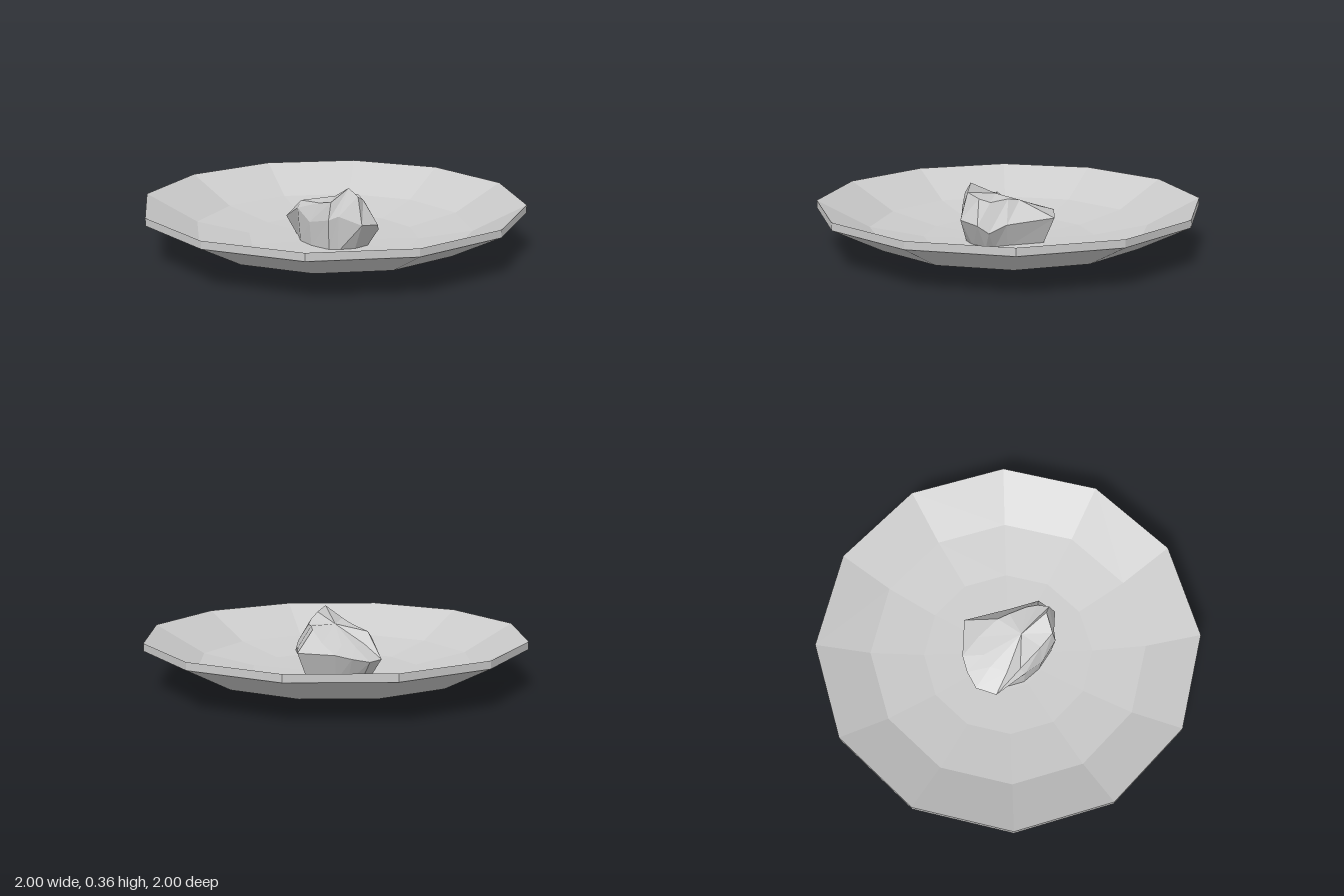
import * as THREE from 'three';

const material = new THREE.MeshStandardMaterial({ color: 0xcccccc, flatShading: true });

// Twelve-sided shallow dish with a thin upright rim
function createDish() {
  const profile = [
    [0, 0], [0.28, 0.003], [0.45, 0.015], [0.73, 0.07], [1, 0.21],
    [1, 0.25], [0.73, 0.105], [0.45, 0.053], [0.2, 0.042], [0, 0.04],
  ].map(([r, y]) => new THREE.Vector2(r, y));
  const mesh = new THREE.Mesh(new THREE.LatheGeometry(profile, 12), material);
  mesh.name = 'dish';
  return mesh;
}

// Jagged rock: widest outline, a raised crown and a base sunk into the dish
function createRock() {
  const outline = [
    [0.01, 0.18, -0.27], [0.19, 0.16, -0.09], [0.27, 0.125, -0.03], [0.30, 0.165, 0.02],
    [0.28, 0.18, 0.13], [0.17, 0.22, 0.18], [0.13, 0.2, 0.21], [0, 0.17, 0.2],
    [-0.11, 0.22, 0.16], [-0.26, 0.136, 0.07], [-0.28, 0.14, -0.04],
    [-0.23, 0.16, -0.12], [-0.17, 0.18, -0.18],
  ];
  const crown = [
    [0.07, 0.27, -0.1], [0.12, 0.28, -0.06], [0.2, 0.27, 0], [0.23, 0.29, 0.05],
    [0.24, 0.32, 0.11], [0.19, 0.36, 0.12], [0.13, 0.29, 0.19], [0.04, 0.27, 0.17],
    [-0.11, 0.255, 0.13], [-0.14, 0.2, 0.07], [-0.16, 0.2, -0.02],
    [-0.12, 0.21, -0.08], [-0.05, 0.22, -0.15],
  ];
  const base = outline.map(([x, , z]) => {
    const s = z > 0.15 ? 0.92 : 0.75;
    return [x * s, 0.03, z * s];
  });
  const n = outline.length;
  const points = [...base, ...outline, ...crown, [0, 0.03, 0], [0.05, 0.285, 0.05]];
  const index = [];
  for (let i = 0; i < n; i++) {
    const j = (i + 1) % n;
    for (let ring = 0; ring < 2; ring++) {
      const a = ring * n + i, b = ring * n + j;
      index.push(a, a + n, b, b, a + n, b + n);
    }
    index.push(3 * n, i, j);
    index.push(3 * n + 1, 2 * n + j, 2 * n + i);
  }
  const indexed = new THREE.BufferGeometry();
  indexed.setAttribute('position', new THREE.Float32BufferAttribute(points.flat(), 3));
  indexed.setIndex(index);
  const geometry = indexed.toNonIndexed();
  geometry.computeVertexNormals();
  const mesh = new THREE.Mesh(geometry, material);
  mesh.name = 'rock';
  return mesh;
}

export function createModel() {
  const group = new THREE.Group();
  group.name = 'dishWithRock';
  group.add(createDish(), createRock());
  return group;
}
